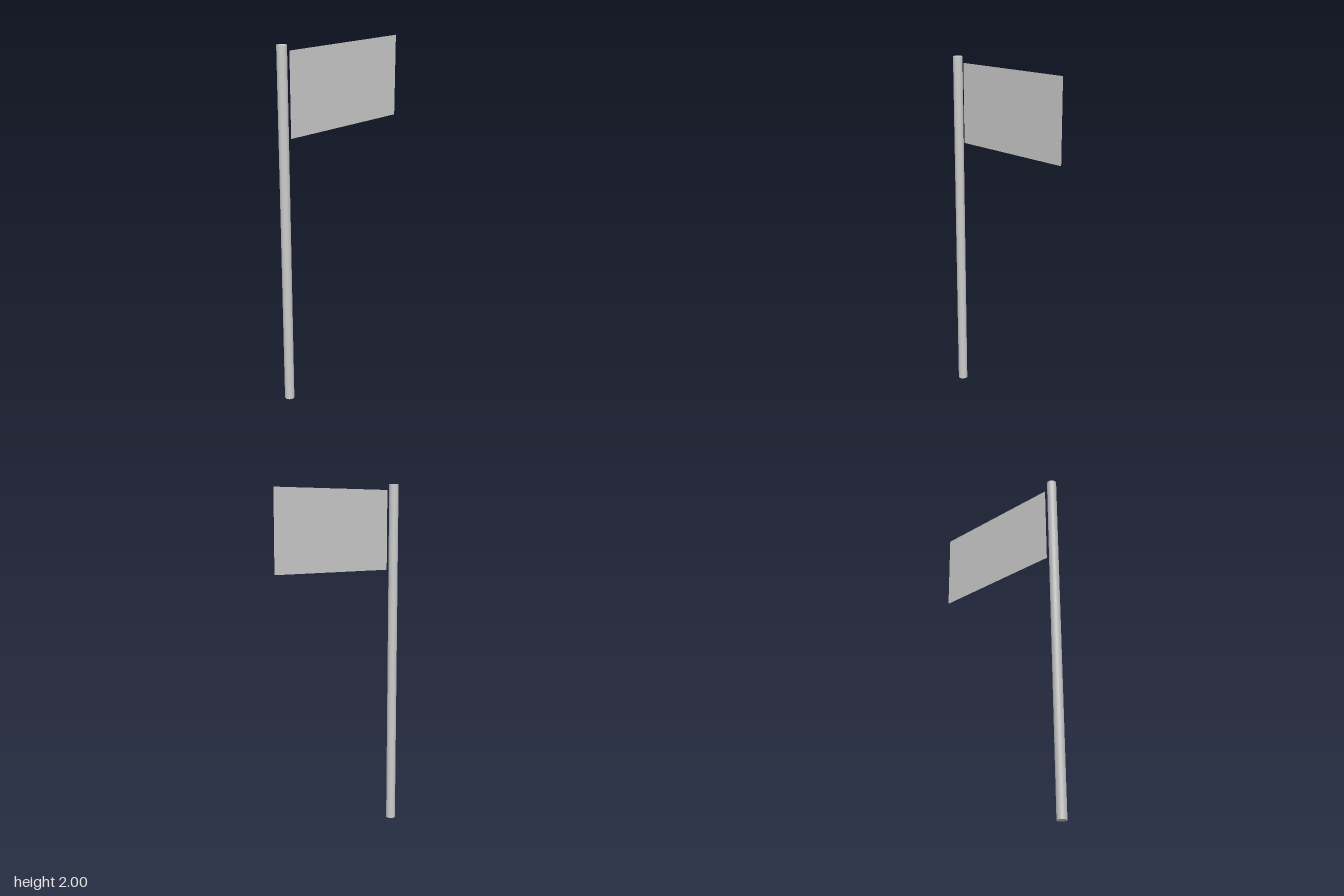
import * as THREE from 'three';

export function createModel() {
  const group = new THREE.Group();

  // Round upright pole
  const pole = new THREE.Mesh(
    new THREE.CylinderGeometry(0.027, 0.027, 2, 32),
    new THREE.MeshStandardMaterial({ color: 0xcccccc })
  );
  pole.name = 'pole';
  pole.position.set(-0.411, 1, 0);
  group.add(pole);

  // Flat, thin flag set just off the pole
  const flag = new THREE.Mesh(
    new THREE.PlaneGeometry(0.797, 0.455),
    new THREE.MeshStandardMaterial({ color: 0xcccccc, side: THREE.DoubleSide })
  );
  flag.name = 'flag';
  flag.position.set(0.038, 1.739, 0);
  group.add(flag);

  return group;
}
